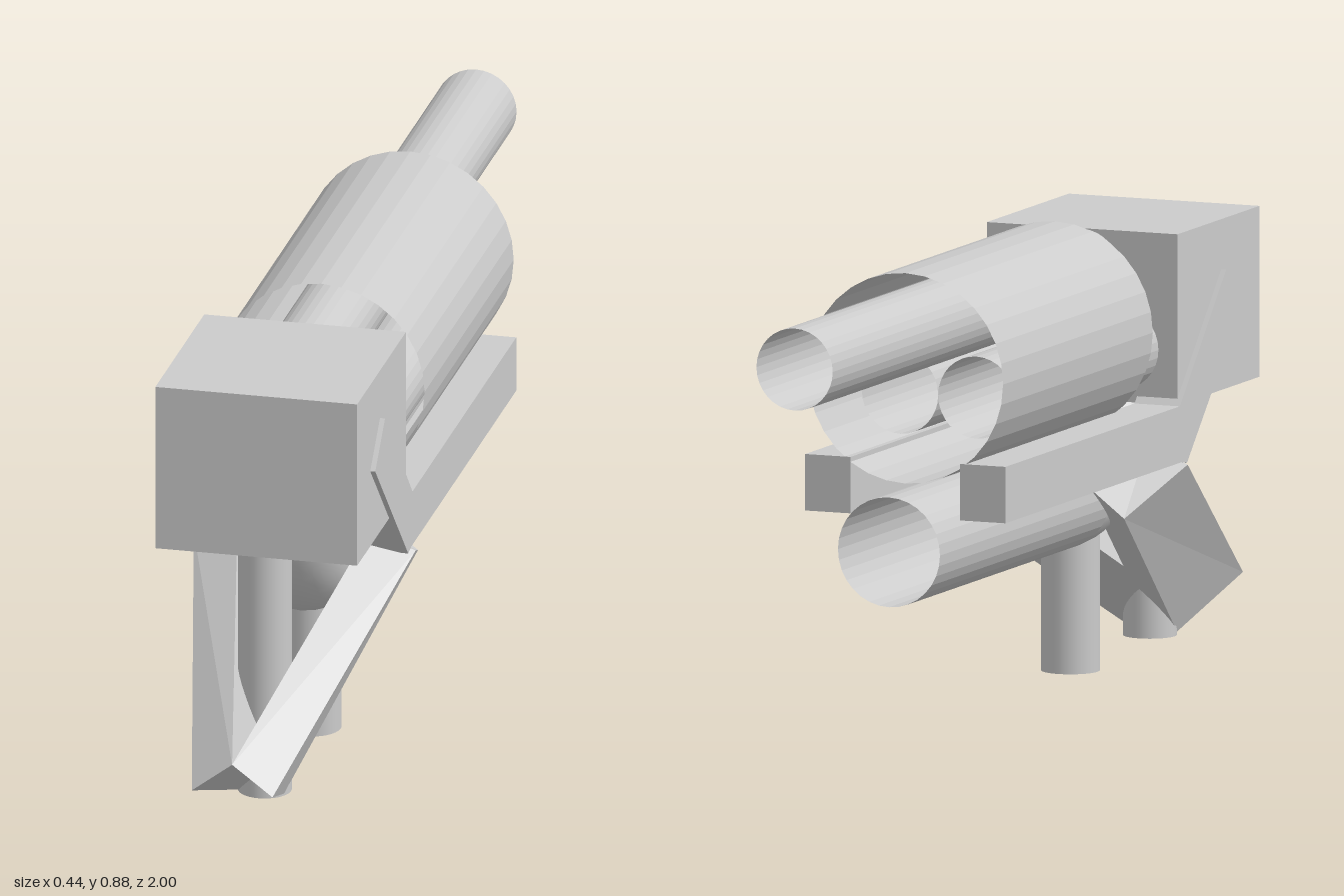
import * as THREE from 'three';

const solid = new THREE.MeshStandardMaterial({ color: 0xcccccc });
const faceted = new THREE.MeshStandardMaterial({ color: 0xcccccc, flatShading: true });
const shell = new THREE.MeshStandardMaterial({ color: 0xcccccc, flatShading: true, side: THREE.DoubleSide });

export function createModel() {
  const group = new THREE.Group();

  const add = (name, geometry, material) => {
    const mesh = new THREE.Mesh(geometry, material);
    mesh.name = name;
    group.add(mesh);
    return mesh;
  };

  // Open-ended tube running along z
  const tube = (name, r, x, y, zBack, zFront) => {
    const g = new THREE.CylinderGeometry(r, r, zFront - zBack, 32, 1, true);
    g.rotateX(Math.PI / 2);
    g.translate(x, y, (zBack + zFront) / 2);
    add(name, g, shell);
  };

  // Closed upright post
  const post = (name, r, z, y0, y1) => {
    const g = new THREE.CylinderGeometry(r, r, y1 - y0, 32);
    g.translate(0, (y0 + y1) / 2, z);
    add(name, g, solid);
  };

  // Block at the front
  add('headBlock', new THREE.BoxGeometry(0.4, 0.333, 0.4).translate(0, 0.6865, 0.602), faceted);

  // Open drum with three tubes inside, the upper one forming the long barrel
  tube('drum', 0.205, 0, 0.68, -0.46, 0.27);
  tube('barrel', 0.08, 0, 0.772, -1, 0.42);
  for (const s of [-1, 1]) tube('shortTube', 0.08, s * 0.08, 0.625, -0.3, 0.42);

  // Lower tube with an elbow curving up into the block
  tube('lowerTube', 0.107, 0, 0.352, -0.54, 0.29);
  const elbow = new THREE.TorusGeometry(0.293, 0.107, 32, 16, Math.PI / 2);
  elbow.rotateZ(-Math.PI / 2);
  elbow.rotateY(-Math.PI / 2);
  elbow.translate(0, 0.645, 0.29);
  add('elbow', elbow, new THREE.MeshStandardMaterial({ color: 0xcccccc, side: THREE.DoubleSide }));

  // Posts
  post('frontPost', 0.052, 0.732, 0.015, 0.54);
  post('rearPost', 0.057, 0.345, 0, 0.29);

  // Side rails: a level bar joined to a slanted bar, profile in (z, y)
  const profile = new THREE.Shape([
    [-0.46, 0.41], [0.40, 0.41], [0.425, 0.405], [0.695, 0.675],
    [0.615, 0.755], [0.39, 0.52], [-0.46, 0.52],
  ].map(([z, y]) => new THREE.Vector2(z, y)));
  for (const s of [-1, 1]) {
    const g = new THREE.ExtrudeGeometry(profile, { depth: 0.095, bevelEnabled: false });
    g.rotateY(-Math.PI / 2);
    g.translate(s > 0 ? 0.21 : -0.115, 0, 0);
    add('sideRail', g, faceted);
  }

  // Slanted struts meeting at the front: front and rear quads in the order
  // inner top, outer top, outer bottom, inner bottom
  const front = [[0, 0.165, 1], [0.08, 0.105, 1], [0.045, 0.02, 0.76], [-0.035, 0.08, 0.76]];
  const rear = [[0.13, 0.44, 0.42], [0.22, 0.405, 0.405], [0.175, 0.325, 0.2], [0.09, 0.39, 0.2]];
  for (const s of [-1, 1]) {
    const points = [...front, ...rear].flatMap(([x, y, z]) => [s * x, y, z]);
    const index = [];
    const quad = (a, b, c, d) => index.push(...(s > 0 ? [a, b, c, a, c, d] : [a, c, b, a, d, c]));
    quad(3, 2, 1, 0);
    quad(4, 5, 6, 7);
    for (let i = 0; i < 4; i++) {
      const j = (i + 1) % 4;
      quad(i, j, j + 4, i + 4);
    }
    const g = new THREE.BufferGeometry();
    g.setAttribute('position', new THREE.Float32BufferAttribute(points, 3));
    g.setIndex(index);
    const flat = g.toNonIndexed();
    flat.computeVertexNormals();
    add('strut', flat, faceted);
  }

  return group;
}
